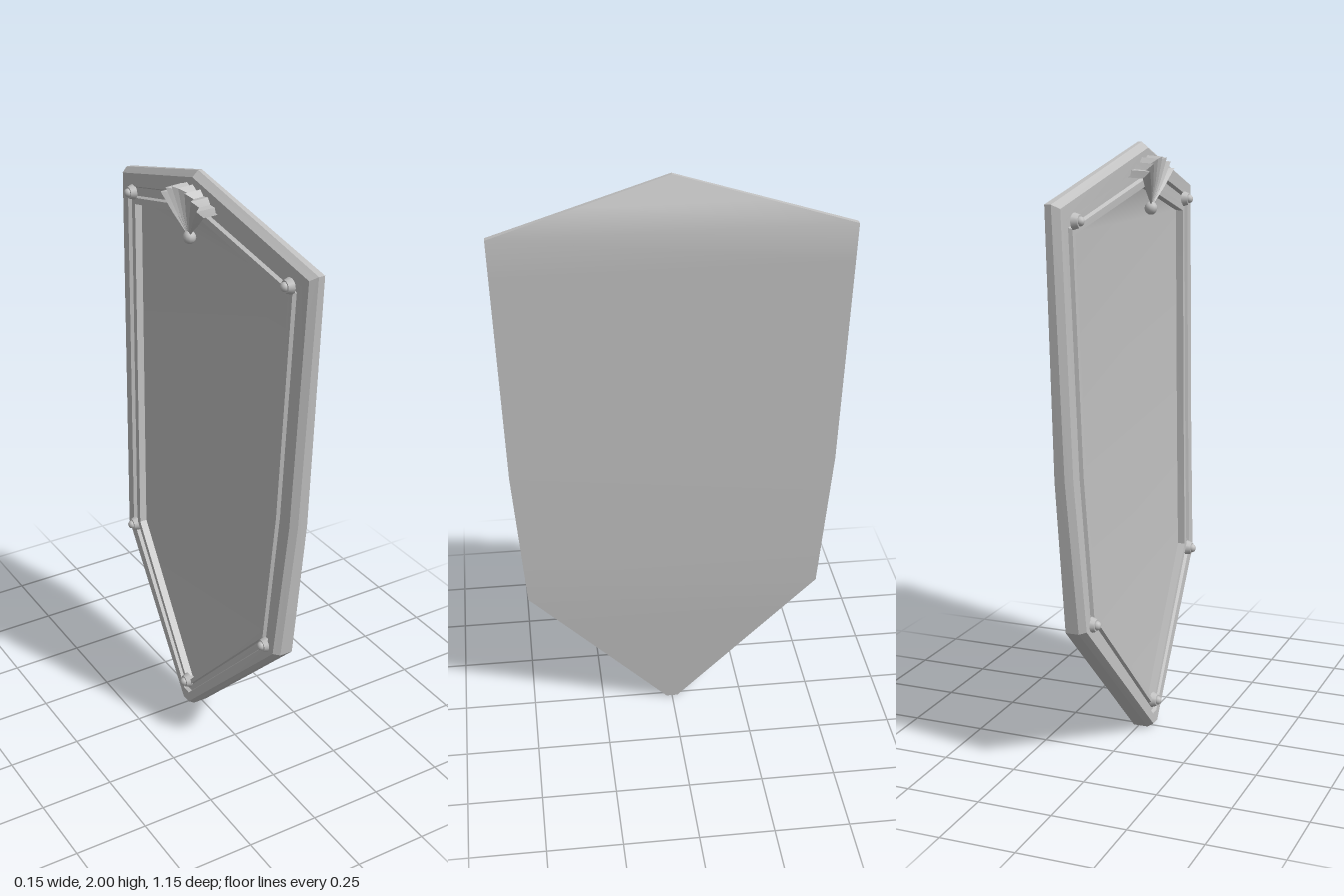
import * as THREE from 'three';
import { toCreasedNormals } from 'three/addons/utils/BufferGeometryUtils.js';

// Half outlines from the top point down to the tip: [z, y, x of the front face]
const OUTER = [[0, 2, -0.025], [0.575, 1.84, 0.032], [0.545, 1.0, 0.012], [0.505, 0.5, -0.012], [0.02, 0, -0.055]];
const INNER = [[0, 1.86, -0.018], [0.465, 1.745, 0.025], [0.44, 1.0, 0.008], [0.41, 0.54, -0.01], [0.01, 0.1, -0.048]];
const BACK_X = [0.01, 0.075, 0.068, 0.055, 0.018];

// Mirror a half outline into a full loop
const mirror = (half) => [...half, ...half.slice(1).reverse().map(([x, y, z]) => [x, y, -z])];

function build(points, index, crease) {
  const geo = new THREE.BufferGeometry();
  geo.setAttribute('position', new THREE.Float32BufferAttribute(points.flat(), 3));
  geo.setIndex(index);
  geo.computeVertexNormals();
  return crease ? toCreasedNormals(geo, crease) : geo;
}

// Skin between consecutive cross-sections
function loft(rings, closed, crease) {
  const n = rings[0].length, index = [];
  for (let k = 0; k < rings.length - 1; k++) {
    for (let i = 0; i < (closed ? n : n - 1); i++) {
      const a = k * n + i, b = k * n + (i + 1) % n;
      index.push(a, a + n, b, b, a + n, b + n);
    }
  }
  return build(rings.flat(), index, crease);
}

// Surface spanning left and right through rows of [z, y, x]
function span(rows, facesBack) {
  const points = rows.flatMap(([z, y, x]) => [[x, y, z], [x, y, -z]]);
  const index = [];
  for (let i = 0; i < rows.length - 1; i++) {
    const l0 = 2 * i, r0 = l0 + 1, l1 = l0 + 2, r1 = l0 + 3;
    const tris = [[l0, l1, r1], [l0, r1, r0]];
    tris.forEach(([a, b, c]) => (facesBack ? index.push(a, b, c) : index.push(a, c, b)));
  }
  return build(points, index);
}

export function createModel() {
  const group = new THREE.Group();
  group.name = 'shield';
  const steel = new THREE.MeshStandardMaterial({ color: 0xc0c0c0, side: THREE.DoubleSide });
  steel.name = 'steel grey';
  const add = (name, geo, parent = group) => {
    const mesh = new THREE.Mesh(geo, steel);
    mesh.name = name;
    parent.add(mesh);
    return mesh;
  };

  // Rim: [inset from outer to inner outline, depth behind the front face]
  const profile = [[0, 0.022], [0.14, 0], [0.5, 0], [0.55, 0.012], [0.78, 0.012], [0.82, 0], [1, 0], [1, 0.026]];
  const ring = ([t, depth]) => mirror(OUTER.map(([z, y, x], i) => {
    const [iz, iy, ix] = INNER[i];
    return [x + (ix - x) * t + depth, y + (iy - y) * t, z + (iz - z) * t];
  }));
  const backEdge = mirror(OUTER.map(([z, y], i) => [BACK_X[i], y, z]));
  add('rim', loft([backEdge, ...profile.map(ring)], true, 0.35));

  // Recessed panel inside the rim
  add('frontPanel', span(INNER.map(([z, y, x]) => [z, y, x + 0.026]), false));

  // Smooth back plate, with extra rows to soften its bends
  const backRows = OUTER.map(([z, y], i) => [z, y, BACK_X[i]]);
  const between = (a, b, t) => a.map((v, i) => v + (b[i] - v) * t);
  add('backPlate', span([
    backRows[0], between(backRows[0], backRows[1], 0.5), backRows[1],
    between(backRows[1], backRows[2], 0.15), backRows[2],
    between(backRows[2], backRows[3], 0.7), backRows[3],
    between(backRows[3], backRows[4], 0.25), backRows[4],
  ], true));

  // Ribbed fan ornament, opening upward
  function fan(name, y, z, x, size) {
    const holder = new THREE.Group();
    holder.name = name;
    const steps = 14;
    const arc = (radius, height, rib) => Array.from({ length: steps + 1 }, (_, i) => {
      const a = 0.85 - 1.7 * i / steps;
      const ridge = i % 2;
      const r = radius * (1 + 0.08 * ridge);
      return [-height - rib * ridge, r * Math.cos(a), r * Math.sin(a)];
    });
    add(name + 'Ribs', loft([
      arc(0.08, 0.15, 0), arc(0.5, 0.17, 0.1), arc(0.92, 0.22, 0.14), arc(0.95, -0.1, 0),
    ], false, 0.2), holder);
    const knob = add(name + 'Knob', new THREE.SphereGeometry(0.13, 10, 8), holder);
    knob.position.x = -0.12;
    holder.position.set(x, y, z);
    holder.scale.setScalar(size);
    group.add(holder);
  }
  fan('crestFan', 1.79, 0, -0.015, 0.165);

  // Studs at the corners and the tip
  const studs = [[1.785, 0.475, 0.02], [0.515, 0.445, -0.012], [0.095, 0, -0.048]];
  for (const [y, z, x] of studs) {
    for (const side of z ? [1, -1] : [1]) {
      const base = add('studBase', new THREE.CylinderGeometry(0.02, 0.027, 0.02, 10));
      base.rotation.z = Math.PI / 2;
      base.position.set(x - 0.004, y, z * side);
      const cap = add('studCap', new THREE.SphereGeometry(0.015, 10, 8));
      cap.position.set(x - 0.014, y, z * side);
    }
  }
  return group;
}
